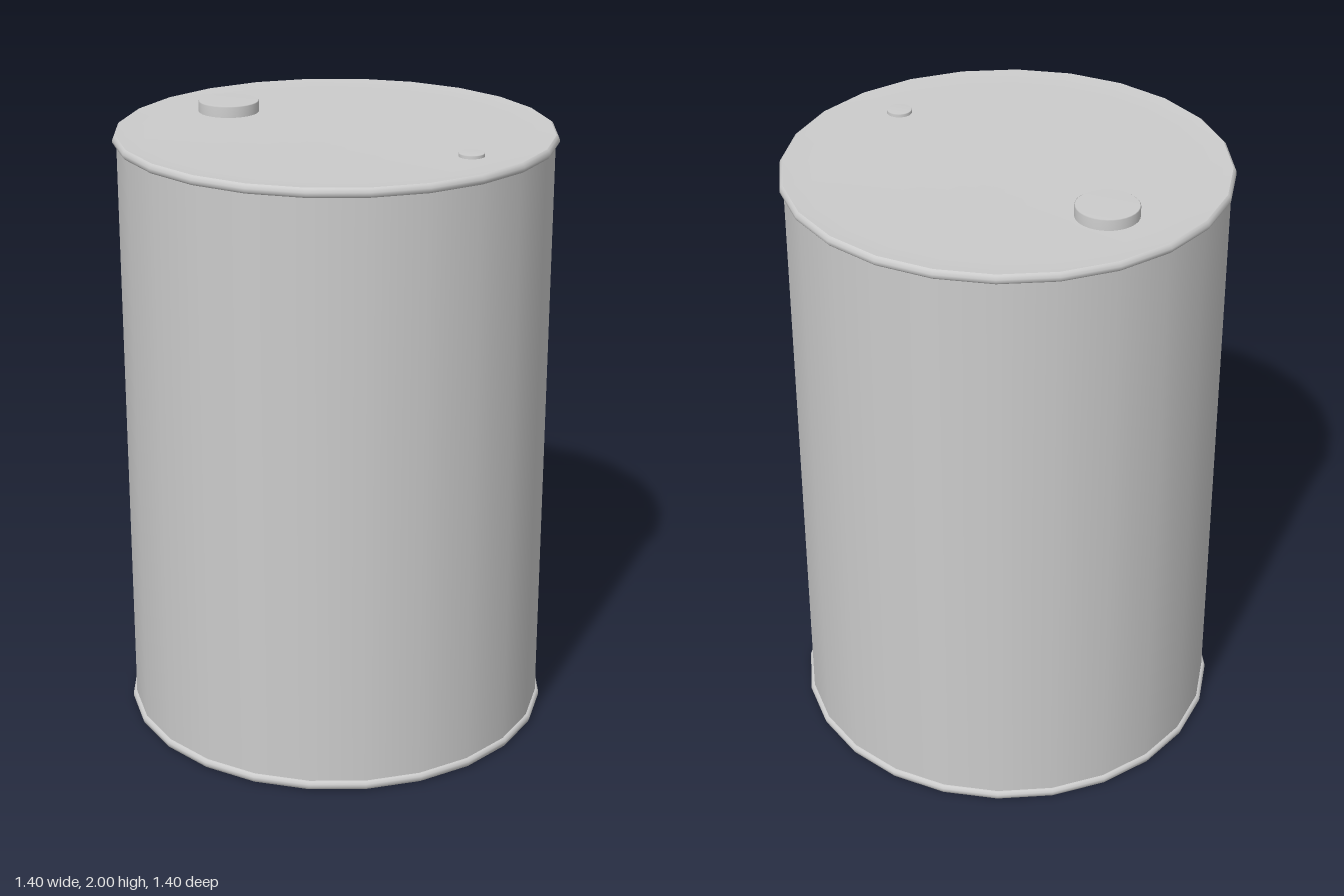
import * as THREE from 'three';

const SIDES = 24;

export function createModel() {
  const group = new THREE.Group();
  const material = new THREE.MeshStandardMaterial({ color: 0xcccccc });

  // Revolve an [r, y] profile, listed bottom to top, round the y axis
  const lathe = (name, profile, sides = SIDES, x = 0) => {
    const points = profile.map(([r, y]) => new THREE.Vector2(r, y));
    const mesh = new THREE.Mesh(new THREE.LatheGeometry(points, sides), material);
    mesh.name = name;
    mesh.position.x = x;
    group.add(mesh);
  };

  // Plain straight wall
  lathe('wall', [[0.686, 0.02], [0.686, 1.96]]);

  // Rolled rims at both ends, mirrored about mid height
  const rim = [[0.684, 1.943], [0.692, 1.944], [0.698, 1.951], [0.698, 1.96], [0.694, 1.969], [0.688, 1.973]];
  const mid = 0.987;
  lathe('topRim', rim);
  lathe('bottomRim', rim.map(([r, y]) => [r, 2 * mid - y]).reverse());

  // Closed ends, the lid dished very slightly
  lathe('lid', [[0.688, 1.973], [0.6, 1.966], [0, 1.962]]);
  lathe('base', [[0, 0.001], [0.688, 0.001]]);

  // Large and small bung caps with softly shaded edges
  const cap = (name, x, r, top) =>
    lathe(name, [[r, 1.95], [r, top - 0.002], [r * 0.97, top], [0, top]], 32, x);
  cap('largeBung', -0.435, 0.098, 2);
  cap('smallBung', 0.51, 0.04, 1.976);

  return group;
}
